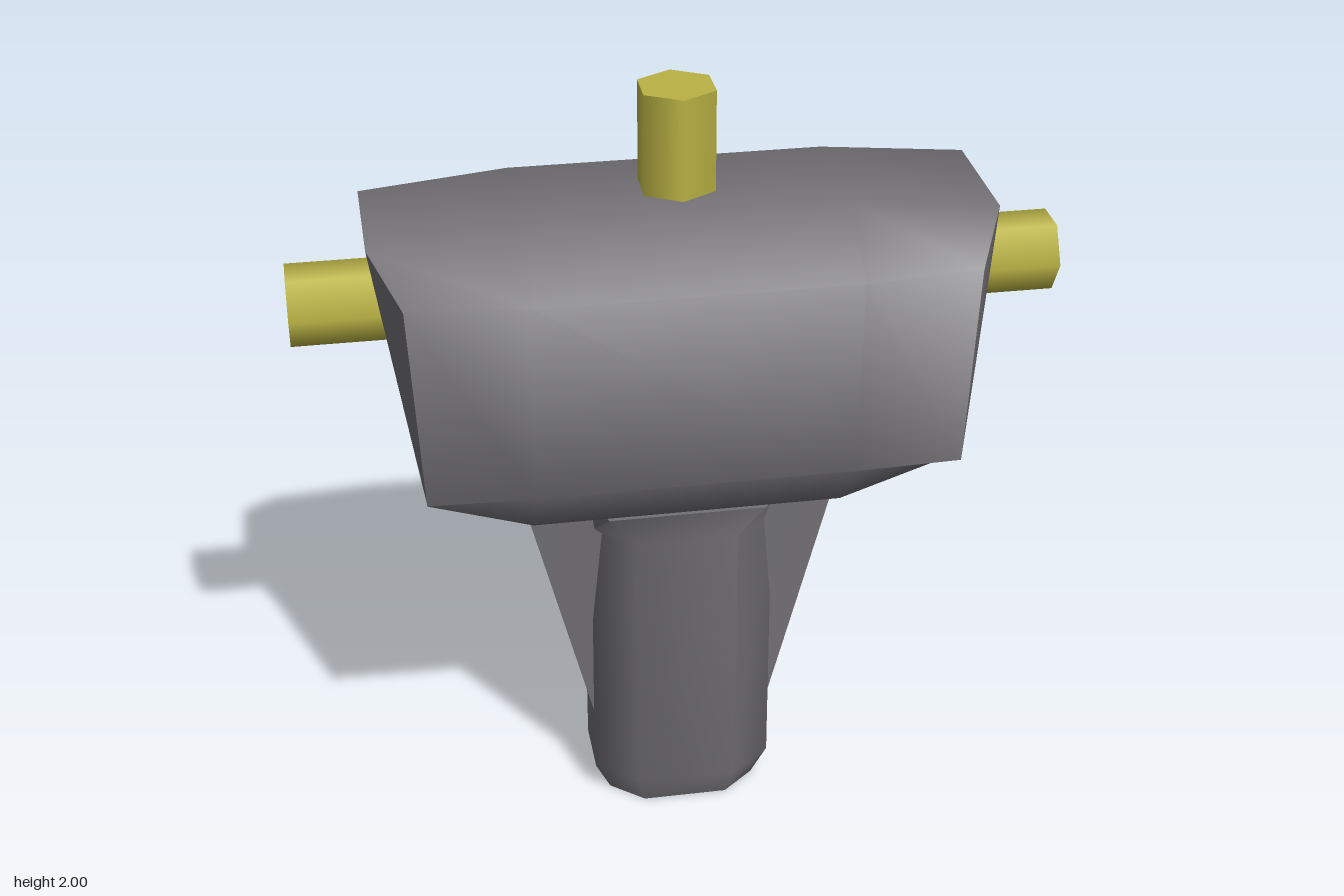
import * as THREE from 'three';
import { toCreasedNormals } from 'three/addons/utils/BufferGeometryUtils.js';

// Joins rings of points (counter-clockwise seen from the last ring) and caps both ends.
function loft(rings, crease = 0.98) {
  const n = rings[0].length, last = (rings.length - 1) * n, index = [];
  const quad = (a, b, c, d) => index.push(a, b, c, a, c, d);
  for (let i = 0; i < rings.length - 1; i++) {
    for (let j = 0; j < n; j++) {
      const k = (j + 1) % n;
      quad(i * n + j, i * n + k, (i + 1) * n + k, (i + 1) * n + j);
    }
  }
  for (let j = 0; j < n / 2 - 1; j++) {
    const strip = [j, j + 1, n - 2 - j, n - 1 - j];
    quad(...strip.map((v) => v + last));
    quad(...strip.reverse());
  }
  const geometry = new THREE.BufferGeometry();
  geometry.setAttribute('position', new THREE.Float32BufferAttribute(rings.flat(2), 3));
  geometry.setIndex(index);
  return toCreasedNormals(geometry, crease);
}

// Octagonal head section; each corner is [x, y, z] for lower side, bottom, top, upper side.
function headRing(side, low, bottom, top, high) {
  const p = ([x, y, z], s) => [side * x, y, s * z];
  return [p(low, 1), p(bottom, 1), p(bottom, -1), p(low, -1),
    p(high, -1), p(top, -1), p(top, 1), p(high, 1)];
}

// Octagonal handle section
function handleRing(y, x, z, cx, cz) {
  return [[cx, z], [x, cz], [x, -cz], [cx, -z], [-cx, -z], [-x, -cz], [-x, cz], [-cx, z]]
    .map(([px, pz]) => [px, y, pz]);
}

// Tapered rib section
function ribRing(y, inX, inZ, outX, outZ) {
  return [[inX, y, inZ], [outX, y, outZ], [outX, y, -outZ], [inX, y, -inZ]];
}

export function createModel() {
  const grey = new THREE.MeshStandardMaterial({ name: 'dark grey', color: 0x737175 });
  const yellow = new THREE.MeshStandardMaterial({ name: 'mustard yellow', color: 0xbab344 });
  const model = new THREE.Group();
  const add = (name, geometry, material) => {
    const mesh = new THREE.Mesh(geometry, material);
    mesh.name = name;
    model.add(mesh);
    return mesh;
  };

  // Head, swelling towards the middle, with slanted ends
  const end = [[0.656, 1.1, 0.318], [0.65, 1.016, 0.17], [0.755, 1.71, 0.17], [0.683, 1.614, 0.31]];
  const middle = [[0.39, 1.1, 0.328], [0.39, 0.927, 0.17], [0.39, 1.745, 0.17], [0.39, 1.614, 0.34]];
  add('head', loft([
    headRing(-1, ...end), headRing(-1, ...middle), headRing(1, ...middle), headRing(1, ...end),
  ]), grey);

  // Handle with a chamfered foot and a slight flare under the head
  add('handle', loft([
    handleRing(0, 0.195, 0.137, 0.11, 0.065),
    handleRing(0.085, 0.235, 0.167, 0.13, 0.08),
    handleRing(0.84, 0.235, 0.167, 0.13, 0.08),
    handleRing(0.927, 0.238, 0.182, 0.2, 0.1),
  ]), grey);

  // Ribs bracing the handle against the head
  const rib = loft([
    ribRing(0.262, 0.2, 0.065, 0.236, 0.062),
    ribRing(0.935, 0.2, 0.108, 0.405, 0.073),
  ]);
  add('leftRib', rib, grey);
  add('rightRib', rib, grey).rotation.y = Math.PI;

  // Hexagonal pins on the top and both ends
  const pin = (length) => new THREE.CylinderGeometry(0.1, 0.1, length, 6);
  add('topPin', pin(0.4), yellow).position.y = 1.8;
  for (const side of [1, -1]) {
    const mesh = add(side > 0 ? 'leftPin' : 'rightPin', pin(0.4), yellow);
    mesh.rotation.z = -side * Math.PI / 2;
    mesh.position.set(side * 0.745, 1.502, 0);
  }
  return model;
}
